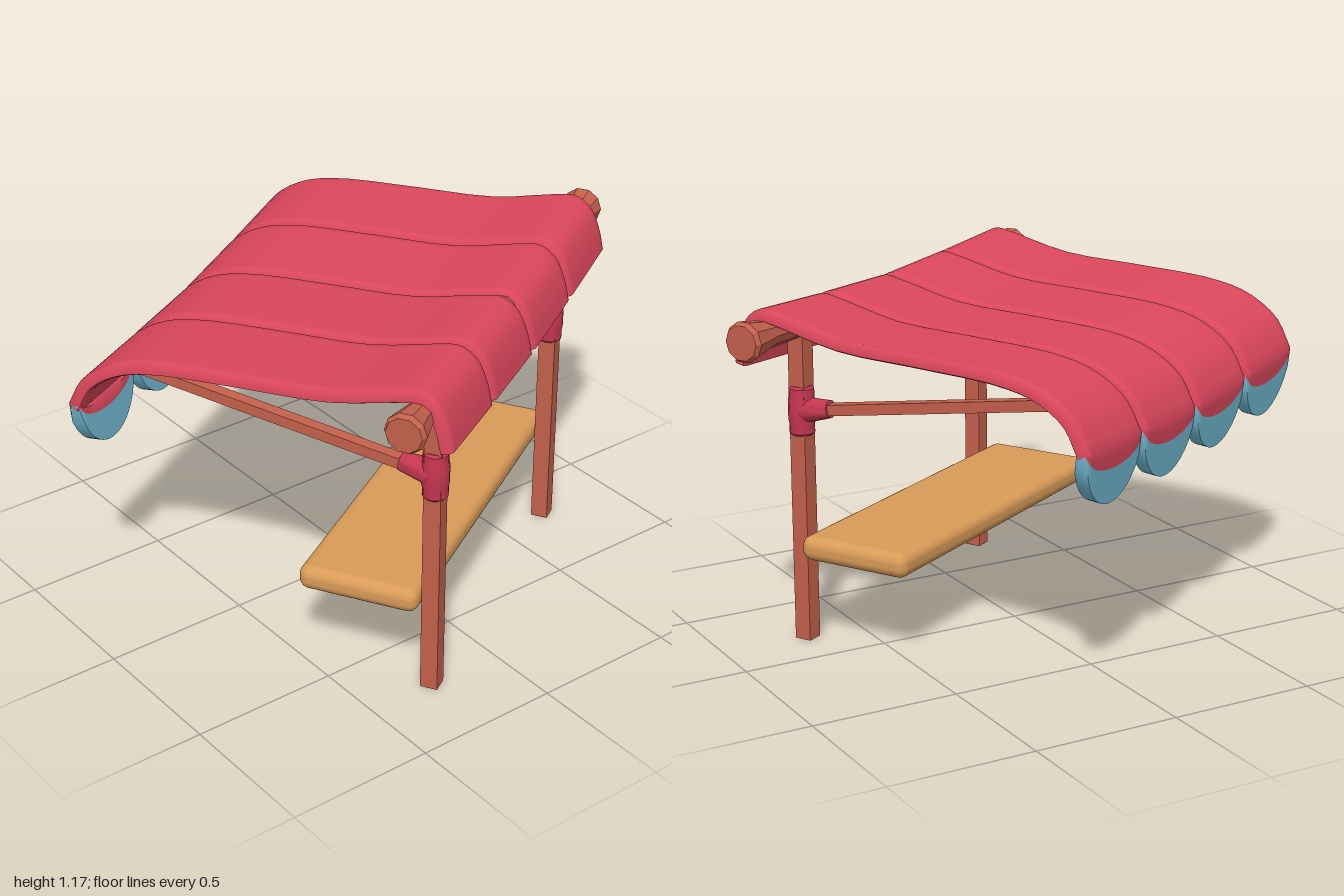
import * as THREE from 'three';
import { toCreasedNormals } from 'three/addons/utils/BufferGeometryUtils.js';
import { RoundedBoxGeometry } from 'three/addons/geometries/RoundedBoxGeometry.js';

const mat = (name, color) => {
  const m = new THREE.MeshStandardMaterial({ color });
  m.name = name;
  return m;
};

// One padded cloth strip: a rounded cross-section swept along the awning profile,
// ending in a scallop whose lower part takes the second material.
function stripGeometry(cx, yLeft, yRight) {
  const hw = 0.179, t = 0.045, N = 17, a = hw - 0.012;
  const loop = [[-hw, 0.012]];
  for (let i = 0; i < N; i++) loop.push([-a + (2 * a * i) / (N - 1), 0]);
  loop.push([hw, 0.012], [hw, t - 0.006]);
  for (let i = N - 1; i >= 0; i--) loop.push([-a + (2 * a * i) / (N - 1), t]);
  loop.push([-hw, t - 0.006]);
  const M = loop.length;

  // side profile as (0, y, z), front flap to hanging back edge
  const profile = new THREE.CatmullRomCurve3([
    [0.985, 0.622], [1.06, 0.605], [1.135, 0.57], [1.17, 0.515], [1.16, 0.44], [1.112, 0.22],
    [1.098, -0.06], [1.08, -0.36], [1.045, -0.5], [0.97, -0.61], [0.87, -0.665],
  ].map(([y, z]) => new THREE.Vector3(0, y, z)));
  const rows = [];
  const steps = 32;
  for (let j = 0; j <= steps; j++) {
    rows.push({ p: profile.getPoint(j / steps), d: profile.getTangent(j / steps), k: 0 });
  }
  const hang = new THREE.Vector3(0, -0.19, 0.02);
  const hangDir = hang.clone().normalize();
  const last = profile.getPoint(1);
  for (const k of [0.2, 0.4, 0.7, 1]) rows.push({ p: last, d: hangDir, k });
  const blueStart = rows.length - 3;

  const pos = [], idx = [];
  const addRow = ({ p, d, k }) => {
    for (const [x, depth] of loop) {
      const f = k * Math.max(0.06, Math.sqrt(Math.max(0, 1 - (x / hw) ** 2)));
      const y = p.y + hang.y * f + d.z * depth;
      const z = p.z + hang.z * f - d.y * depth;
      pos.push(cx + x, y + THREE.MathUtils.lerp(yLeft, yRight, (x + hw) / (2 * hw)), z);
    }
  };
  rows.forEach(addRow);
  const cap = (base, flip) => {
    for (let i = 0; i < M / 2 - 1; i++) {
      const q = [base + i, base + i + 1, base + M - 2 - i, base + M - 1 - i];
      if (flip) q.reverse();
      idx.push(q[0], q[1], q[2], q[0], q[2], q[3]);
    }
  };
  cap(0, true);
  let redCount = 0;
  for (let j = 0; j < rows.length - 1; j++) {
    if (j === blueStart) redCount = idx.length;
    for (let i = 0; i < M; i++) {
      const n = (i + 1) % M;
      const A = j * M + i, B = j * M + n, C = B + M, D = A + M;
      idx.push(A, B, C, A, C, D);
    }
  }
  cap((rows.length - 1) * M, false);

  const g = new THREE.BufferGeometry();
  g.setAttribute('position', new THREE.Float32BufferAttribute(pos, 3));
  g.setIndex(idx);
  g.addGroup(0, redCount, 0);
  g.addGroup(redCount, idx.length - redCount, 1);
  return toCreasedNormals(g, 0.9);
}

export function createModel() {
  const wood = mat('reddish wood', 0xc4604c);
  const plank = mat('light wood', 0xd99b58);
  const cloth = mat('red cloth', 0xdc475c);
  const trim = mat('blue trim', 0x70b8d0);
  const fitting = mat('crimson fitting', 0xc63650);

  const group = new THREE.Group();
  const stall = new THREE.Group();
  stall.name = 'stall';
  stall.rotation.y = Math.PI / 6;
  group.add(stall);
  const add = (name, geo, material, x = 0, y = 0, z = 0) => {
    const m = new THREE.Mesh(geo, material);
    m.name = name;
    m.position.set(x, y, z);
    stall.add(m);
    return m;
  };

  // Awning: four strips sagging slightly towards the middle
  const sag = [0, -0.018, -0.03, -0.018, 0];
  for (let i = 0; i < 4; i++) {
    add('awningStrip', stripGeometry(-0.587 + 0.374 * i, sag[i], sag[i + 1]), [cloth, trim]);
  }

  // Ridge pole with flared ends
  const barProfile = [[0, -0.848], [0.058, -0.848], [0.068, -0.832], [0.046, -0.71],
    [0.046, 0.71], [0.068, 0.832], [0.058, 0.848], [0, 0.848]]
    .map(([r, y]) => new THREE.Vector2(r, y));
  const bar = add('ridgePole', toCreasedNormals(new THREE.LatheGeometry(barProfile, 10), 0.3),
    wood, -0.028, 1.083, 0.51);
  bar.rotation.z = -Math.PI / 2;

  // Posts, each with a fitting, socket and sloping strut
  const sleeve = [[0.034, -0.083], [0.042, -0.075], [0.042, -0.045], [0.045, -0.03], [0.045, 0.03],
    [0.042, 0.045], [0.042, 0.075], [0.034, 0.083], [0, 0.083]]
    .map(([r, y]) => new THREE.Vector2(r, y));
  sleeve.unshift(new THREE.Vector2(0, -0.083));
  for (const x of [-0.59, 0.51]) {
    add('post', new THREE.BoxGeometry(0.058, 1.06, 0.058), wood, x, 0.53, 0.505);
    add('postFitting', toCreasedNormals(new THREE.LatheGeometry(sleeve, 12), 0.6), fitting, x, 0.793, 0.505);

    const start = new THREE.Vector3(x, 0.795, 0.48);
    const end = new THREE.Vector3(x, 0.966, -0.565);
    const tilt = Math.atan2(end.y - start.y, start.z - end.z);
    const strut = add('strut', new THREE.BoxGeometry(0.04, 0.036, start.distanceTo(end)), wood);
    strut.position.copy(start).lerp(end, 0.5);
    strut.rotation.x = tilt;

    const socket = add('strutSocket', toCreasedNormals(new THREE.CylinderGeometry(0.03, 0.044, 0.1, 10), 0.7),
      fitting, x, 0.803, 0.44);
    socket.rotation.x = tilt - Math.PI / 2;
  }

  // Counter shelf
  add('counter', new RoundedBoxGeometry(1.26, 0.085, 0.405, 4, 0.036), plank, -0.04, 0.342, 0.272);

  return group;
}
